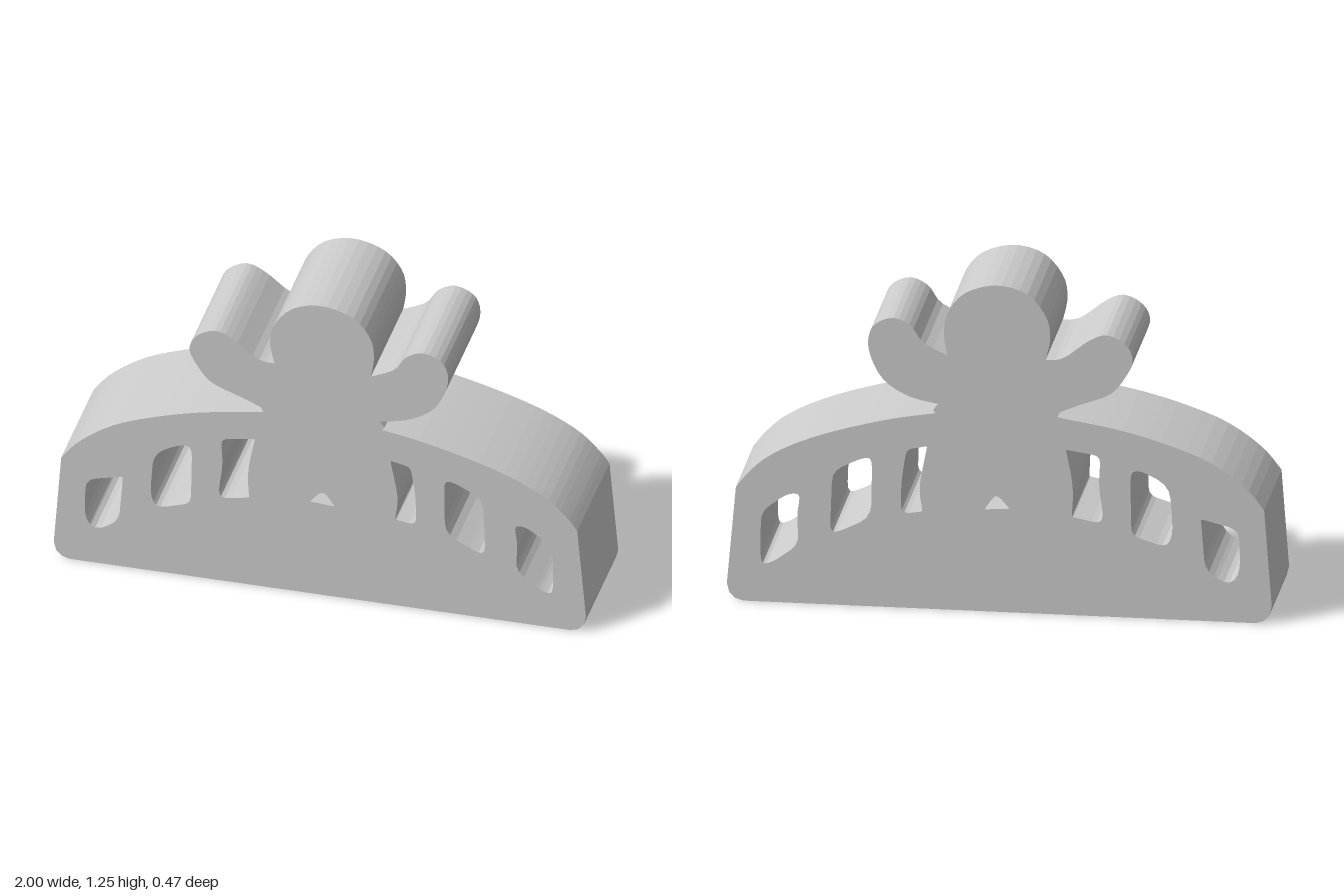
import * as THREE from 'three';

const DEPTH = 0.465;

// Continue a shape with a smooth curve through the given points
function curveThrough(shape, points) {
  shape.splineThru(points.map(([x, y]) => new THREE.Vector2(x, y)));
}

// Closed polygon whose corners [x, y, radius] are rounded
function roundedHole(corners) {
  const path = new THREE.Path();
  const n = corners.length;
  const pts = corners.map(([x, y]) => new THREE.Vector2(x, y));
  corners.forEach(([, , r = 0.03], i) => {
    const p = pts[i];
    const toward = (q) => p.clone().add(q.clone().sub(p).setLength(Math.min(r, q.distanceTo(p) * 0.45)));
    const a = toward(pts[(i + n - 1) % n]);
    const b = toward(pts[(i + 1) % n]);
    if (i === 0) path.moveTo(a.x, a.y);
    else path.lineTo(a.x, a.y);
    path.quadraticCurveTo(p.x, p.y, b.x, b.y);
  });
  path.closePath();
  return path;
}

export function createModel() {
  const group = new THREE.Group();
  group.name = 'archedHolder';
  const s = new THREE.Shape();

  // Base with rounded lower corners, right side
  s.moveTo(-0.94, 0);
  s.lineTo(0.94, 0);
  s.quadraticCurveTo(0.995, 0.005, 1, 0.065);
  s.lineTo(0.967, 0.435);
  // Right half of the arch, up to the notch under the arm
  curveThrough(s, [[0.93, 0.483], [0.86, 0.55], [0.75, 0.612], [0.6, 0.668], [0.4, 0.722], [0.235, 0.752]]);
  s.lineTo(0.243, 0.765);
  s.lineTo(0.225, 0.788);
  // Right arm
  curveThrough(s, [[0.33, 0.812], [0.42, 0.867], [0.467, 0.945], [0.482, 1.02], [0.458, 1.082],
    [0.39, 1.111], [0.325, 1.083], [0.278, 1.02], [0.192, 0.978]]);
  // Head
  curveThrough(s, [[0.203, 1.06], [0.188, 1.145], [0.123, 1.22], [0.01, 1.253], [-0.1, 1.225],
    [-0.17, 1.145], [-0.187, 1.06], [-0.17, 0.975]]);
  // Left arm
  curveThrough(s, [[-0.235, 0.985], [-0.326, 1.054], [-0.395, 1.08], [-0.465, 1.045], [-0.49, 0.985],
    [-0.46, 0.917], [-0.406, 0.853], [-0.3, 0.81], [-0.222, 0.777]]);
  s.lineTo(-0.213, 0.757);
  s.lineTo(-0.235, 0.753);
  // Left half of the arch
  curveThrough(s, [[-0.43, 0.72], [-0.6, 0.675], [-0.77, 0.61], [-0.9, 0.52], [-0.972, 0.435]]);
  s.lineTo(-1, 0.065);
  s.quadraticCurveTo(-0.995, 0.005, -0.94, 0);

  // Window openings from left to right, with a small one in the middle
  s.holes = [
    [[-0.88, 0.355, 0.04], [-0.74, 0.39, 0.008], [-0.755, 0.195, 0.04], [-0.84, 0.14, 0.05], [-0.885, 0.185, 0.06]],
    [[-0.625, 0.51, 0.05], [-0.53, 0.562, 0.04], [-0.48, 0.565, 0.05], [-0.485, 0.315, 0.03], [-0.615, 0.275, 0.04], [-0.638, 0.33, 0.05]],
    [[-0.372, 0.615, 0.03], [-0.244, 0.634, 0.006], [-0.273, 0.49, 0.08], [-0.266, 0.377, 0.006], [-0.375, 0.355, 0.04], [-0.38, 0.4, 0.03], [-0.364, 0.5, 0.05]],
    [[-0.038, 0.398, 0.004], [0.055, 0.391, 0.004], [0.012, 0.455, 0.03]],
    [[0.265, 0.624, 0.006], [0.34, 0.608, 0.02], [0.36, 0.49, 0.06], [0.362, 0.36, 0.03], [0.282, 0.372, 0.008], [0.296, 0.46, 0.05]],
    [[0.467, 0.573, 0.04], [0.51, 0.565, 0.03], [0.613, 0.512, 0.04], [0.622, 0.27, 0.045], [0.565, 0.293, 0.02], [0.47, 0.342, 0.05]],
    [[0.728, 0.422, 0.045], [0.78, 0.417, 0.03], [0.875, 0.345, 0.04], [0.877, 0.14, 0.05], [0.83, 0.155, 0.02], [0.735, 0.225, 0.04], [0.744, 0.34, 0.05]],
  ].map(roundedHole);

  const geometry = new THREE.ExtrudeGeometry(s, { depth: DEPTH, bevelEnabled: false, curveSegments: 3 });
  geometry.translate(0, 0, -DEPTH / 2);
  const body = new THREE.Mesh(geometry, new THREE.MeshStandardMaterial({ color: 0xcccccc, flatShading: true }));
  body.name = 'holderBody';
  group.add(body);
  return group;
}
